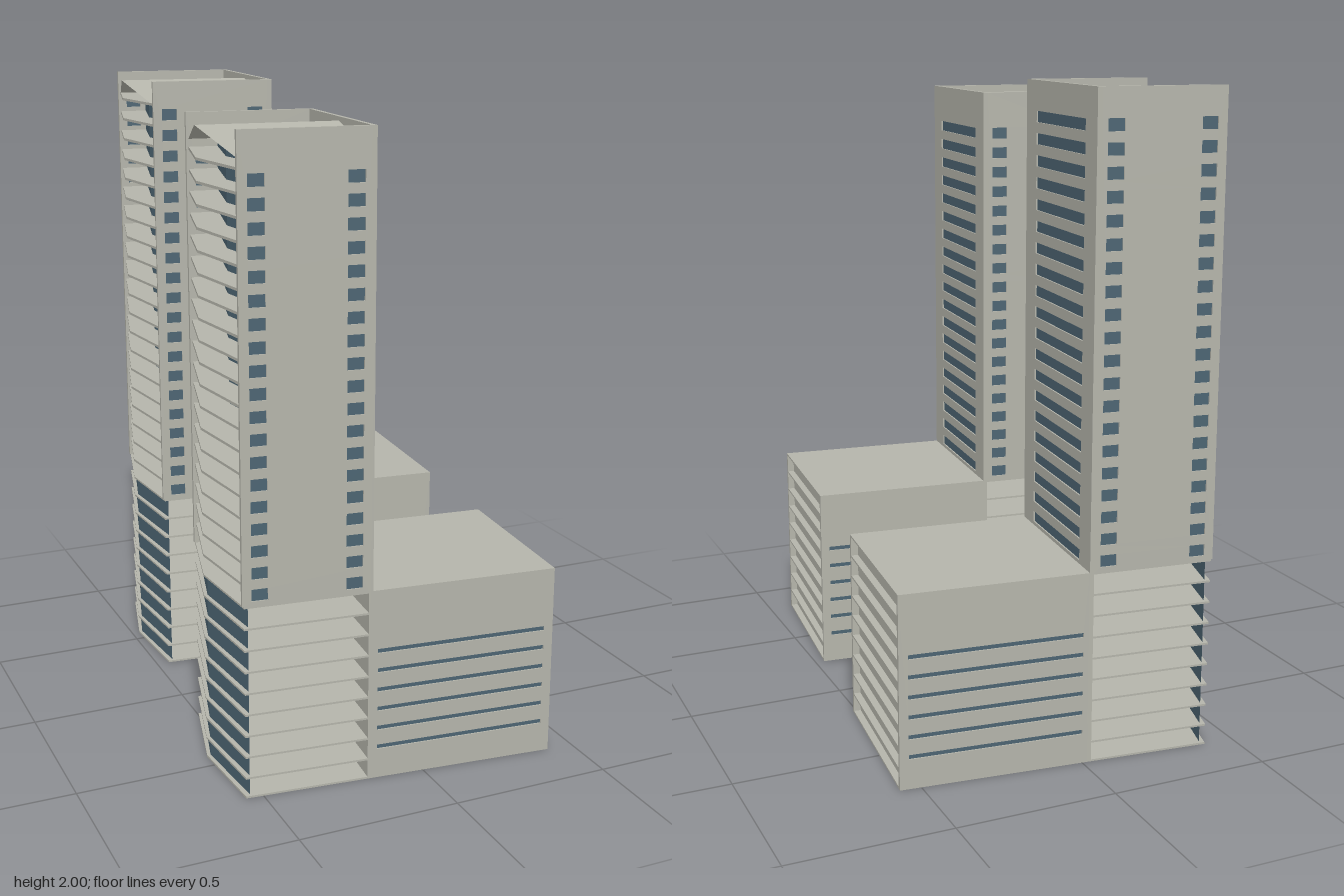
import * as THREE from 'three';

const HALF = 0.284;      // half the building depth
const TOWER = 0.395;     // tower width
const ANNEX = 0.583;     // annex width
const BASE = 0.6;        // podium height
const WALL = 0.013;      // wall thickness
const FLOOR = BASE / 9;  // podium storey

const concrete = new THREE.MeshStandardMaterial({ color: 0xb4b4aa, side: THREE.DoubleSide });
concrete.name = 'concrete';
const glass = new THREE.MeshStandardMaterial({ color: 0x4c6472, side: THREE.DoubleSide });
glass.name = 'blue glass';

function add(parent, name, geometry, material) {
  const mesh = new THREE.Mesh(geometry, material);
  mesh.name = name;
  parent.add(mesh);
  return mesh;
}

// Box given by its limits on each axis
function block(parent, name, material, x0, x1, y0, y1, z0, z1) {
  const mesh = add(parent, name, new THREE.BoxGeometry(x1 - x0, y1 - y0, z1 - z0), material);
  mesh.position.set((x0 + x1) / 2, (y0 + y1) / 2, (z0 + z1) / 2);
  return mesh;
}

function rectanglePoints(x0, x1, y0, y1) {
  return [[x0, y0], [x1, y0], [x1, y1], [x0, y1]].map(([x, y]) => new THREE.Vector2(x, y));
}

// Upright wall with window holes, glazed just behind its middle
function windowWall(parent, name, x0, x1, y0, y1, windows) {
  const wall = new THREE.Group();
  wall.name = name;
  const shape = new THREE.Shape(rectanglePoints(x0, x1, y0, y1));
  for (const w of windows) shape.holes.push(new THREE.Path(rectanglePoints(...w)));
  add(wall, 'wallPanel', new THREE.ExtrudeGeometry(shape, { depth: WALL, bevelEnabled: false }), concrete);
  for (const [a, b, c, d] of windows) {
    block(wall, 'windowPane', glass, a, b, c, d, WALL * 0.35, WALL * 0.65);
  }
  parent.add(wall);
  return wall;
}

// Floor plate whose outer edge is bent to a shallow point
function bentSlab(parent, name, top, thickness, half, end, apex) {
  const shape = new THREE.Shape([
    [-WALL, -half], [-WALL, half], [-end, half], [-apex, 0], [-end, -half],
  ].map(([x, z]) => new THREE.Vector2(x, z)));
  const geometry = new THREE.ExtrudeGeometry(shape, { depth: thickness, bevelEnabled: false });
  geometry.rotateX(Math.PI / 2);
  add(parent, name, geometry, concrete).position.y = top;
}

function faceGeometry(points, indices) {
  const geometry = new THREE.BufferGeometry();
  geometry.setAttribute('position', new THREE.Float32BufferAttribute(points.flat(), 3));
  geometry.setIndex(indices);
  const flat = geometry.toNonIndexed();
  flat.computeVertexNormals();
  return flat;
}

// Two upright glass sheets meeting at the point of the plan
function bentGlazing(parent, name, y0, y1, yMiddle, half, end, apex) {
  add(parent, name, faceGeometry([
    [-end, y0, -half], [-apex, y0, 0], [-end, y0, half],
    [-end, y1, -half], [-apex, yMiddle, 0], [-end, y1, half],
  ], [0, 1, 4, 0, 4, 3, 1, 2, 5, 1, 5, 4]), glass);
}

function podium(parent) {
  const group = new THREE.Group();
  group.name = 'podium';
  parent.add(group);

  // Open floors below the tower
  for (let i = 0; i <= 9; i++) {
    bentSlab(group, 'podiumFloor', Math.max(i * FLOOR, 0.006), 0.006, HALF, 0.39, 0.435);
  }
  bentGlazing(group, 'podiumGlazing', 0.003, BASE - 0.003, BASE - 0.003, HALF - 0.01, 0.376, 0.424);

  // Annex with slit windows on its long sides
  const slits = [];
  for (let i = 0; i < 6; i++) {
    const y = 0.1 + i * 0.0617;
    slits.push([0.0165, 0.555, y - 0.007, y + 0.007]);
  }
  windowWall(group, 'annexFrontWall', 0, ANNEX, 0, BASE, slits).position.z = HALF - WALL;
  windowWall(group, 'annexBackWall', 0, ANNEX, 0, BASE, slits).position.z = -HALF;

  // Recessed end wall between the fins, crossed by floor edges
  const inner = HALF - WALL;
  block(group, 'annexEndWall', concrete, ANNEX - 0.034, ANNEX - 0.022, 0.006, BASE - 0.006, -inner, inner);
  for (let i = 0; i <= 9; i++) {
    const y = Math.max(i * FLOOR, 0.006);
    const start = i === 0 || i === 9 ? 0 : ANNEX - 0.03;
    block(group, 'annexFloor', concrete, start, ANNEX, y - 0.006, y, -inner, inner);
  }
}

function tower(parent, height, rows, pitch) {
  const group = new THREE.Group();
  group.name = 'tower';
  parent.add(group);
  const inner = HALF - WALL;

  // Window rows on the two narrow walls and the broad one
  const small = [], broad = [];
  for (let i = 0; i < rows; i++) {
    const y = 0.632 + i * pitch;
    small.push([-0.367, -0.318, y - 0.018, y + 0.018], [-0.083, -0.032, y - 0.018, y + 0.018]);
    broad.push([-0.1975, 0.1975, y - 0.021, y + 0.013]);
  }
  windowWall(group, 'towerFrontWall', -TOWER, -WALL, BASE, height, small).position.z = inner;
  windowWall(group, 'towerBackWall', -TOWER, -WALL, BASE, height, small).position.z = -HALF;
  const spine = windowWall(group, 'towerBroadWall', -HALF, HALF, 0, height, broad);
  spine.rotation.y = Math.PI / 2;
  spine.position.x = -WALL;

  // Balconies in front of set-back glazing
  for (let i = 1; i <= rows; i++) {
    bentSlab(group, 'balconySlab', BASE + i * pitch, 0.008, inner, 0.388, 0.435);
  }
  const eave = height - 0.078, ridge = height - 0.012;
  bentGlazing(group, 'towerGlazing', BASE, eave, ridge, inner, 0.3, 0.347);

  // Low gabled roof between the parapets
  add(group, 'gableRoof', faceGeometry([
    [-0.388, eave, -inner], [-0.437, ridge, 0], [-0.388, eave, inner],
    [-WALL, eave, -inner], [-WALL, ridge, 0], [-WALL, eave, inner],
  ], [0, 1, 4, 0, 4, 3, 1, 2, 5, 1, 5, 4]), concrete);
}

function building(name, x, z, height, rows, pitch) {
  const group = new THREE.Group();
  group.name = name;
  podium(group);
  tower(group, height, rows, pitch);
  group.position.set(x, 0, z);
  group.rotation.y = -0.095;
  return group;
}

export function createModel() {
  const model = new THREE.Group();
  model.name = 'twinTowers';
  model.add(
    building('frontBuilding', -0.1375, 0.4825, 1.94, 19, 0.0652),
    building('backBuilding', -0.0425, -0.5075, 2, 20, 0.0665),
  );
  return model;
}
